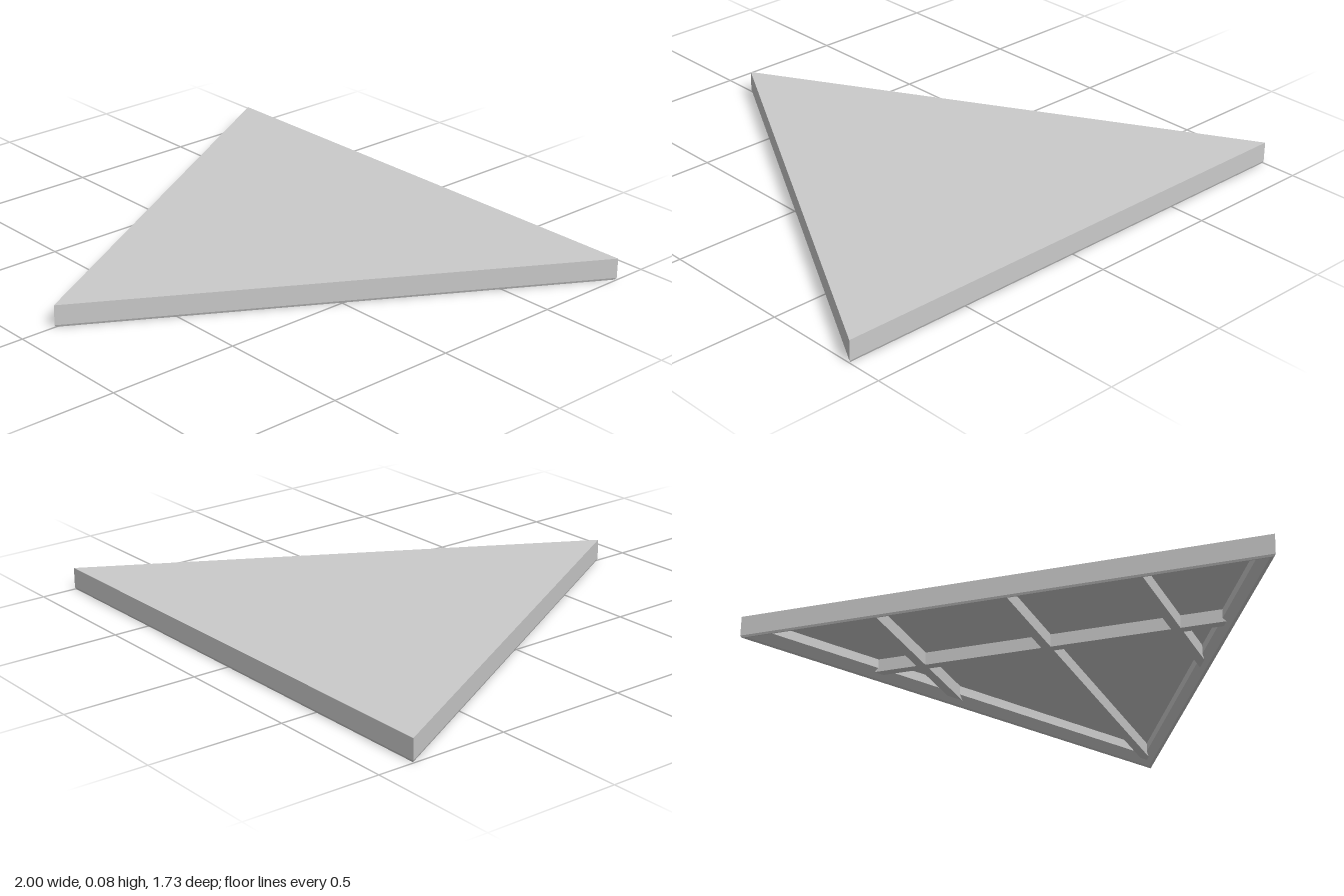
import * as THREE from 'three';

const HEIGHT = 0.083;
const CEILING = 0.07;
const SIDE_H = Math.sqrt(3); // height of the triangle with side 2
const RADIUS = 2 / SIDE_H;   // circumradius of that triangle
const RIB_Y = 0.02;          // underside of the ribs
const RIB_HALF = 0.018;
const INSET = 0.025;         // rib ends stop inside the wall

export function createModel() {
  const group = new THREE.Group();
  group.name = 'triangularPanel';

  const grey = new THREE.MeshStandardMaterial({ color: 0xcacaca, flatShading: true });
  grey.name = 'grey';

  // Hollow shell: a three-sided lathe, each point given as wall inset and height
  const profile = [
    [RADIUS / 2, CEILING], [0.04, CEILING], [0.04, 0.035], [0.013, 0.003], [0.003, 0],
    [0, 0.008], [0, HEIGHT], [RADIUS / 2, HEIGHT],
  ].map(([inset, y]) => new THREE.Vector2(Math.max(0, RADIUS - 2 * inset), y));
  const shell = new THREE.Mesh(new THREE.LatheGeometry(profile, 3), grey);
  shell.name = 'shell';
  shell.position.z = SIDE_H / 2 - RADIUS;
  group.add(shell);

  // Rib frame: u runs along the right edge, v runs from it to the opposite corner
  const frame = new THREE.Matrix4().makeBasis(
    new THREE.Vector3(0.5, 0, SIDE_H / 2),
    new THREE.Vector3(SIDE_H / 2, 0, -0.5),
    new THREE.Vector3(0, 1, 0),
  ).setPosition(-0.5, RIB_Y, 0);

  function addRib(name, points) {
    const shape = new THREE.Shape(points.map(([u, v]) => new THREE.Vector2(u, v)));
    const geometry = new THREE.ExtrudeGeometry(shape, {
      depth: CEILING + 0.004 - RIB_Y, bevelEnabled: false,
    });
    geometry.applyMatrix4(frame);
    const rib = new THREE.Mesh(geometry, grey);
    rib.name = name;
    group.add(rib);
  }

  // Three ribs square to the right edge, cut to the slope of the other walls
  const reach = (u) => SIDE_H * (1 - Math.abs(u)) - 2 * INSET;
  for (const u of [-0.5, 0, 0.5]) {
    const a = u - RIB_HALF, b = u + RIB_HALF;
    addRib('rib', [[a, INSET], [b, INSET], [b, reach(b)], [u, reach(u)], [a, reach(a)]]);
  }

  // One rib parallel to the right edge
  const halfSpan = (v) => 1 - (v + 2 * INSET) / SIDE_H;
  const v0 = 0.5 - RIB_HALF, v1 = 0.5 + RIB_HALF;
  addRib('crossRib', [
    [-halfSpan(v0), v0], [halfSpan(v0), v0], [halfSpan(v1), v1], [-halfSpan(v1), v1],
  ]);

  return group;
}
